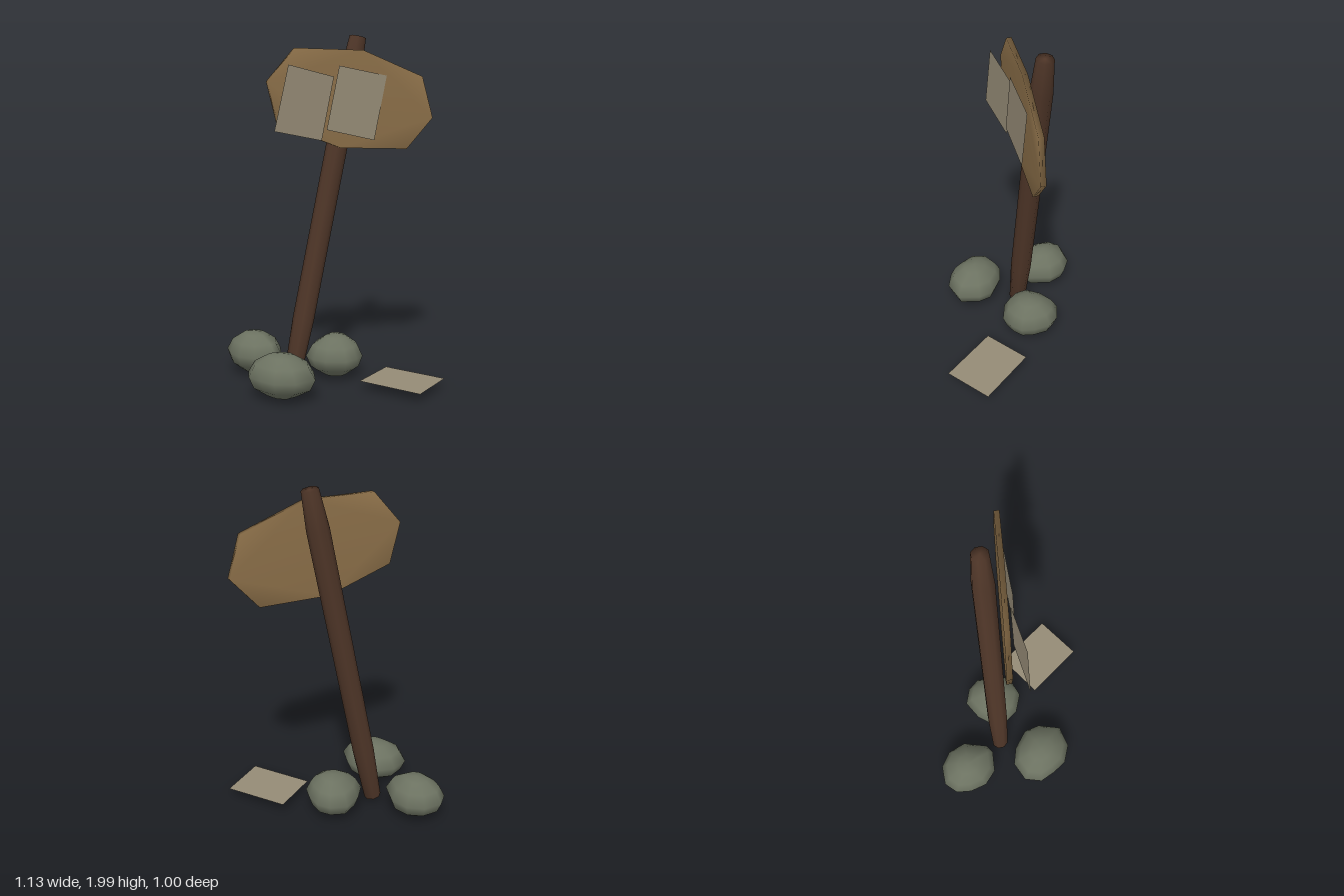
import * as THREE from 'three';
import { mergeVertices } from 'three/addons/utils/BufferGeometryUtils.js';

function material(name, color, side = THREE.FrontSide) {
  const m = new THREE.MeshStandardMaterial({ color, side });
  m.name = name;
  return m;
}

// Weld corners so the shading runs softly over the low-poly edges
function soften(geometry) {
  geometry.deleteAttribute('normal');
  geometry.deleteAttribute('uv');
  const welded = mergeVertices(geometry, 1e-4);
  welded.computeVertexNormals();
  return welded;
}

// Boulder: a plan outline scaled through stacked rings [height, scale]
function boulder(outline) {
  const rings = [[0.01, 0], [0.03, 0.42], [0.08, 0.85], [0.145, 1], [0.21, 0.8], [0.255, 0.4], [0.265, 0]];
  const n = outline.length;
  const cx = outline.reduce((s, p) => s + p[0], 0) / n;
  const cz = outline.reduce((s, p) => s + p[1], 0) / n;
  const positions = [], index = [];
  rings.forEach(([y, s], j) => {
    outline.forEach(([x, z], i) => {
      positions.push(cx + (x - cx) * s, y, cz + (z - cz) * s);
      if (j === rings.length - 1) return;
      const k = (i + 1) % n;
      const a = j * n + i, b = j * n + k, c = b + n, d = a + n;
      index.push(a, d, c, a, c, b);
    });
  });
  const g = new THREE.BufferGeometry();
  g.setAttribute('position', new THREE.Float32BufferAttribute(positions, 3));
  g.setIndex(index);
  return soften(g);
}

// Paper sheet from four corners, counter-clockwise
function sheet(corners) {
  const g = new THREE.BufferGeometry();
  g.setAttribute('position', new THREE.Float32BufferAttribute(corners.flat(), 3));
  g.setIndex([0, 1, 2, 0, 2, 3]);
  g.computeVertexNormals();
  return g;
}

export function createModel() {
  const model = new THREE.Group();
  model.name = 'signpost';
  const darkWood = material('dark wood', 0x4f3628);
  const boardWood = material('board wood', 0x8a6e48);
  const stone = material('mossy stone', 0x6c7261);
  const paper = material('aged paper', 0x958b76, THREE.DoubleSide);

  const add = (name, geometry, mat) => {
    const mesh = new THREE.Mesh(geometry, mat);
    mesh.name = name;
    model.add(mesh);
    return mesh;
  };

  // Leaning eight-sided post, narrowed at both ends
  const profile = [[0, 0], [0.05, 0], [0.062, 0.33], [0.062, 1.76], [0.047, 1.98], [0, 1.98]]
    .map(([r, y]) => new THREE.Vector2(r, y));
  const post = add('post', soften(new THREE.LatheGeometry(profile, 8, Math.PI / 8)), darkWood);
  post.position.set(-0.242, 0.05, -0.108);
  post.rotation.z = -0.207;

  // Rough-cut board, sheared so its +x end comes forward
  const outline = [[-0.39, 1.74], [-0.335, 1.51], [0.02, 1.37], [0.41, 1.355],
    [0.565, 1.53], [0.5, 1.765], [0.15, 1.91], [-0.235, 1.92]];
  const board = new THREE.ExtrudeGeometry(
    new THREE.Shape(outline.map(([x, y]) => new THREE.Vector2(x, y))),
    { depth: 0.03, bevelEnabled: false });
  const p = board.attributes.position;
  for (let i = 0; i < p.count; i++) p.setZ(i, p.getZ(i) - 0.042 + 0.115 * p.getX(i));
  add('board', soften(board), boardWood);

  // Notices on the board and one fallen to the ground
  add('leftNotice', sheet([[-0.3, 1.83, 0.03], [-0.385, 1.475, 0.035], [-0.1, 1.415, 0.005], [-0.025, 1.765, 0]]), paper);
  add('rightNotice', sheet([[0, 1.825, 0.018], [-0.075, 1.475, 0.018], [0.21, 1.41, 0.025], [0.285, 1.77, 0.025]]), paper);
  add('fallenNotice', sheet([[0.3, 0.065, 0.02], [0.055, 0.065, 0.185], [0.275, 0.065, 0.5], [0.52, 0.065, 0.33]]), paper);

  // Boulders around the foot of the post
  add('backBoulder', boulder([[-0.475, -0.505], [-0.36, -0.505], [-0.275, -0.445], [-0.237, -0.34], [-0.28, -0.2],
    [-0.325, -0.17], [-0.45, -0.18], [-0.525, -0.25], [-0.55, -0.35], [-0.54, -0.44]]), stone);
  add('frontBoulder', boulder([[-0.43, -0.05], [-0.33, -0.02], [-0.23, 0.06], [-0.21, 0.155], [-0.25, 0.285],
    [-0.375, 0.315], [-0.48, 0.27], [-0.53, 0.19], [-0.57, 0.1], [-0.54, 0]]), stone);
  add('sideBoulder', boulder([[0.025, -0.28], [0.12, -0.245], [0.17, -0.18], [0.175, -0.08], [0.155, 0],
    [0.1, 0.045], [0.02, 0.075], [-0.09, 0.03], [-0.14, -0.04], [-0.15, -0.13], [-0.08, -0.22]]), stone);

  return model;
}
